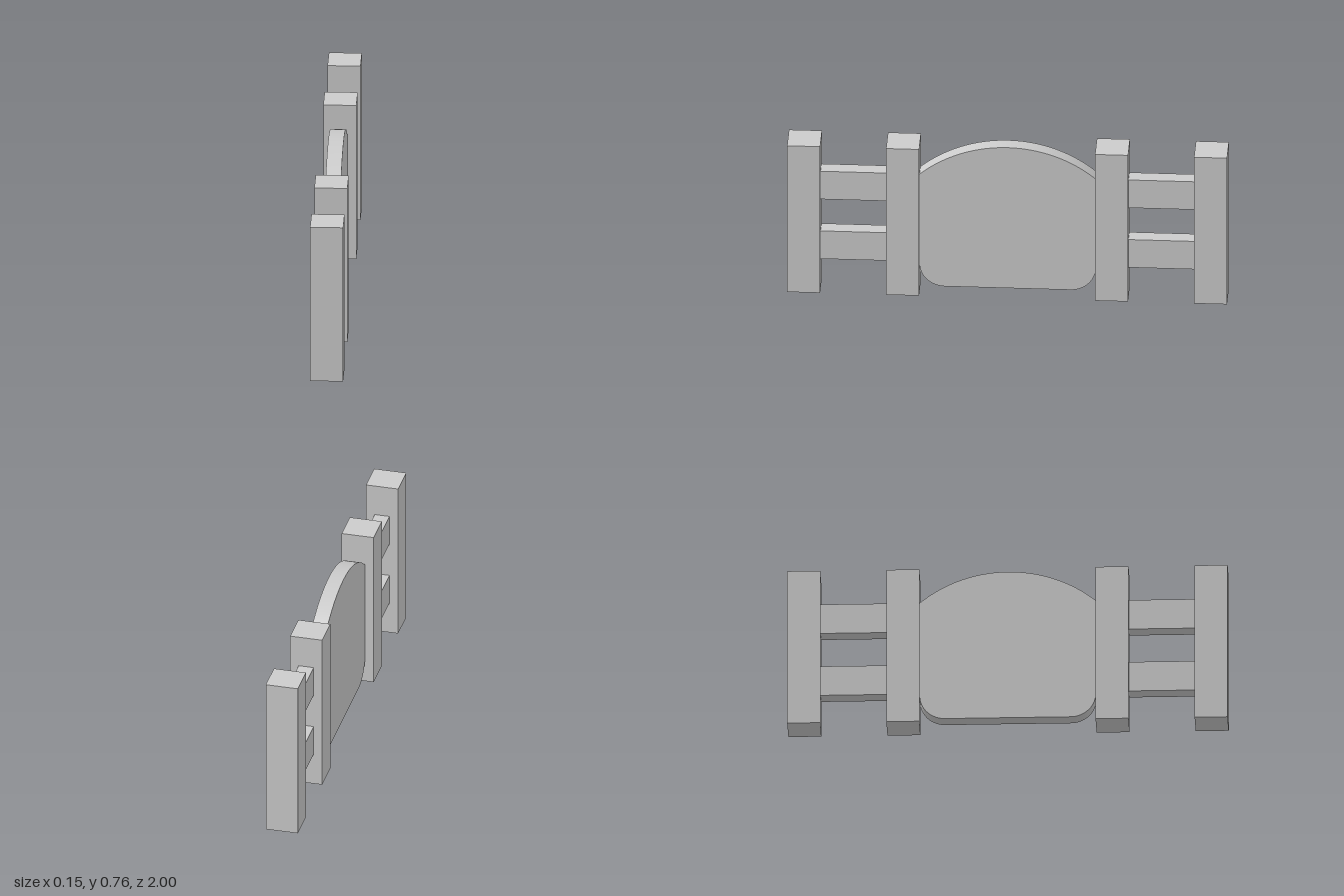
import * as THREE from 'three';
import { toCreasedNormals } from 'three/addons/utils/BufferGeometryUtils.js';

const HEIGHT = 0.76, POST = 0.15, THICK = 0.07;

export function createModel() {
  const model = new THREE.Group();
  model.name = 'fenceGate';
  const material = new THREE.MeshStandardMaterial({ color: 0xcccccc });

  const add = (name, geometry, y = 0, z = 0) => {
    const mesh = new THREE.Mesh(geometry, material);
    mesh.name = name;
    mesh.position.set(0, y, z);
    model.add(mesh);
  };

  // Posts and the pair of rails on either side of the panel
  const postGeometry = new THREE.BoxGeometry(POST, HEIGHT, POST);
  const railGeometry = new THREE.BoxGeometry(THICK, 0.145, 0.3);
  for (const [side, s] of [['front', 1], ['back', -1]]) {
    add(side + 'OuterPost', postGeometry, HEIGHT / 2, s * 0.925);
    add(side + 'InnerPost', postGeometry, HEIGHT / 2, s * 0.475);
    add(side + 'LowerRail', railGeometry, 0.2275, s * 0.7);
    add(side + 'UpperRail', railGeometry, 0.5375, s * 0.7);
  }

  // Panel outline: rounded bottom corners and a circular arched top
  const w = 0.4, bottom = 0.03, r = 0.115, shoulder = 0.61;
  const rise = HEIGHT - shoulder;
  const R = (w * w + rise * rise) / (2 * rise);
  const a = Math.asin(w / R);
  const outline = new THREE.Shape();
  outline.moveTo(-w + r, bottom);
  outline.lineTo(w - r, bottom);
  outline.absarc(w - r, bottom + r, r, -Math.PI / 2, 0, false);
  outline.lineTo(w, shoulder);
  outline.absarc(0, HEIGHT - R, R, Math.PI / 2 - a, Math.PI / 2 + a, false);
  outline.lineTo(-w, bottom + r);
  outline.absarc(-w + r, bottom + r, r, Math.PI, Math.PI * 1.5, false);

  // Extrude, centre the thickness and turn the panel to run along z
  const panel = new THREE.ExtrudeGeometry(outline, { depth: THICK, bevelEnabled: false, curveSegments: 24 });
  panel.translate(0, 0, -THICK / 2);
  panel.rotateY(Math.PI / 2);
  add('archedPanel', toCreasedNormals(panel, 0.5));

  return model;
}
